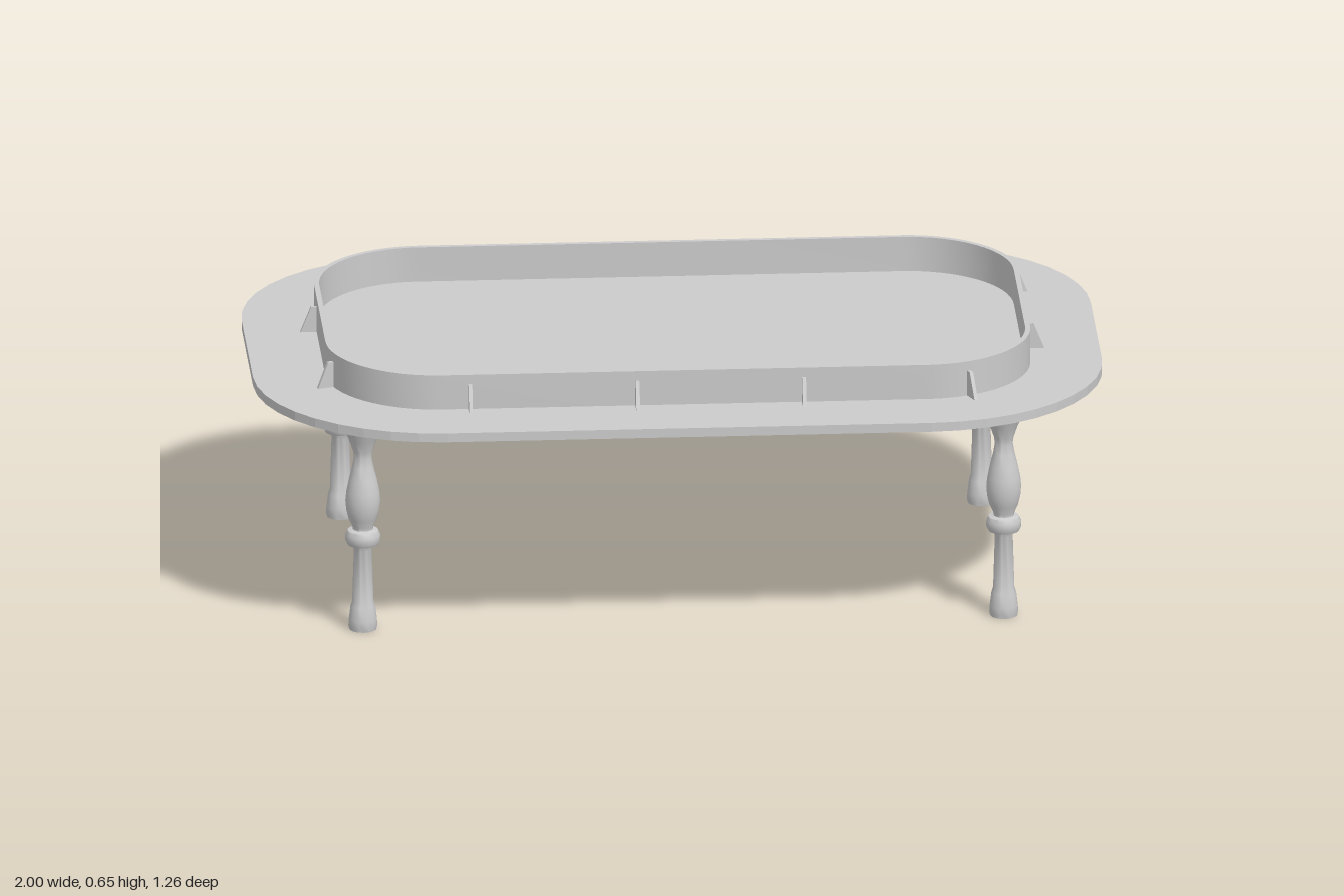
import * as THREE from 'three';
import { toCreasedNormals } from 'three/addons/utils/BufferGeometryUtils.js';

const HX = 0.57, HZ = 0.2; // centres of the corner arcs, shared by every outline
const material = new THREE.MeshStandardMaterial({ color: 0xcccccc });
const openMaterial = new THREE.MeshStandardMaterial({ color: 0xcccccc, side: THREE.DoubleSide });

// Rounded rectangle whose corners have radius r around the shared centres
function outline(r, PathType = THREE.Shape) {
  const p = new PathType();
  p.moveTo(-HX, -HZ - r);
  p.lineTo(HX, -HZ - r);
  p.absarc(HX, -HZ, r, -Math.PI / 2, 0);
  p.lineTo(HX + r, HZ);
  p.absarc(HX, HZ, r, 0, Math.PI / 2);
  p.lineTo(-HX, HZ + r);
  p.absarc(-HX, HZ, r, Math.PI / 2, Math.PI);
  p.lineTo(-HX - r, -HZ);
  p.absarc(-HX, -HZ, r, Math.PI, Math.PI * 1.5);
  return p;
}

// Horizontal slab between two heights
function slab(name, shape, y0, y1, segments, smooth) {
  let geo = new THREE.ExtrudeGeometry(shape, { depth: y1 - y0, bevelEnabled: false, curveSegments: segments });
  geo.rotateX(-Math.PI / 2);
  geo.translate(0, y0, 0);
  if (smooth) geo = toCreasedNormals(geo, 0.5);
  const mesh = new THREE.Mesh(geo, material);
  mesh.name = name;
  return mesh;
}

// Point and outward angle at distance s along the rim, starting at the front left corner
function rimPoint(s, r) {
  const arc = r * Math.PI / 2;
  const corners = [[HX, HZ], [HX, -HZ], [-HX, -HZ], [-HX, HZ]];
  let x = -HX, z = HZ;
  for (let i = 0; i < 4; i++) {
    const a = Math.PI / 2 - i * Math.PI / 2; // outward angle of this side
    const length = i % 2 ? 2 * HZ : 2 * HX;
    const [cx, cz] = corners[i];
    if (s <= length) {
      const t = s / length;
      return { x: x + (cx - x) * t + r * Math.cos(a), z: z + (cz - z) * t + r * Math.sin(a), a };
    }
    s -= length;
    if (s <= arc) {
      const b = a - s / r;
      return { x: cx + r * Math.cos(b), z: cz + r * Math.sin(b), a: b };
    }
    s -= arc;
    [x, z] = corners[i];
  }
}

export function createModel() {
  const model = new THREE.Group();
  model.name = 'table';

  // Top with a smaller plate below it
  model.add(slab('tableTop', outline(0.43), 0.54, 0.562, 5, false));
  model.add(slab('underPlate', outline(0.394), 0.528, 0.54, 5, false));

  // Raised wall around the middle of the top
  const R = 0.26;
  const ring = outline(R);
  ring.holes.push(outline(R - 0.012, THREE.Path));
  model.add(slab('rim', ring, 0.56, 0.647, 8, true));

  // Thin brackets spaced evenly round the rim
  const fin = new THREE.Shape([[-0.006, 0], [0.039, 0], [0.013, 0.064], [-0.006, 0.064]]
    .map(([x, y]) => new THREE.Vector2(x, y)));
  const finGeo = new THREE.ExtrudeGeometry(fin, { depth: 0.009, bevelEnabled: false });
  finGeo.translate(0, 0.56, -0.0045);
  const perimeter = 4 * (HX + HZ) + 2 * Math.PI * R;
  for (let i = 0; i < 12; i++) {
    const p = rimPoint(0.065 + i * perimeter / 12, R);
    const bracket = new THREE.Mesh(finGeo, material);
    bracket.name = 'rimBracket' + (i + 1);
    bracket.position.set(p.x, 0, p.z);
    bracket.rotation.y = -p.a;
    model.add(bracket);
  }

  // Turned legs: foot and shaft, collar, vase and flared head
  const profile = [
    [0.032, 0], [0.034, 0.008], [0.033, 0.025], [0.029, 0.058], [0.025, 0.07], [0.021, 0.2],
    [0.024, 0.208], [0.036, 0.211], [0.041, 0.221], [0.041, 0.235], [0.036, 0.246], [0.024, 0.249],
    [0.024, 0.254], [0.034, 0.276], [0.039, 0.298], [0.041, 0.32], [0.039, 0.343], [0.033, 0.373],
    [0.025, 0.405], [0.021, 0.428], [0.023, 0.443], [0.033, 0.472], [0.046, 0.502], [0.027, 0.53],
  ].map(([r, y]) => new THREE.Vector2(r, y));
  const legGeo = toCreasedNormals(new THREE.LatheGeometry(profile, 20), 0.7);
  for (const [x, side] of [[0.755, 'Left'], [-0.755, 'Right']]) {
    for (const [z, end] of [[0.4, 'front'], [-0.4, 'back']]) {
      const leg = new THREE.Mesh(legGeo, openMaterial);
      leg.name = end + side + 'Leg';
      leg.position.set(x, 0, z);
      model.add(leg);
    }
  }
  return model;
}
